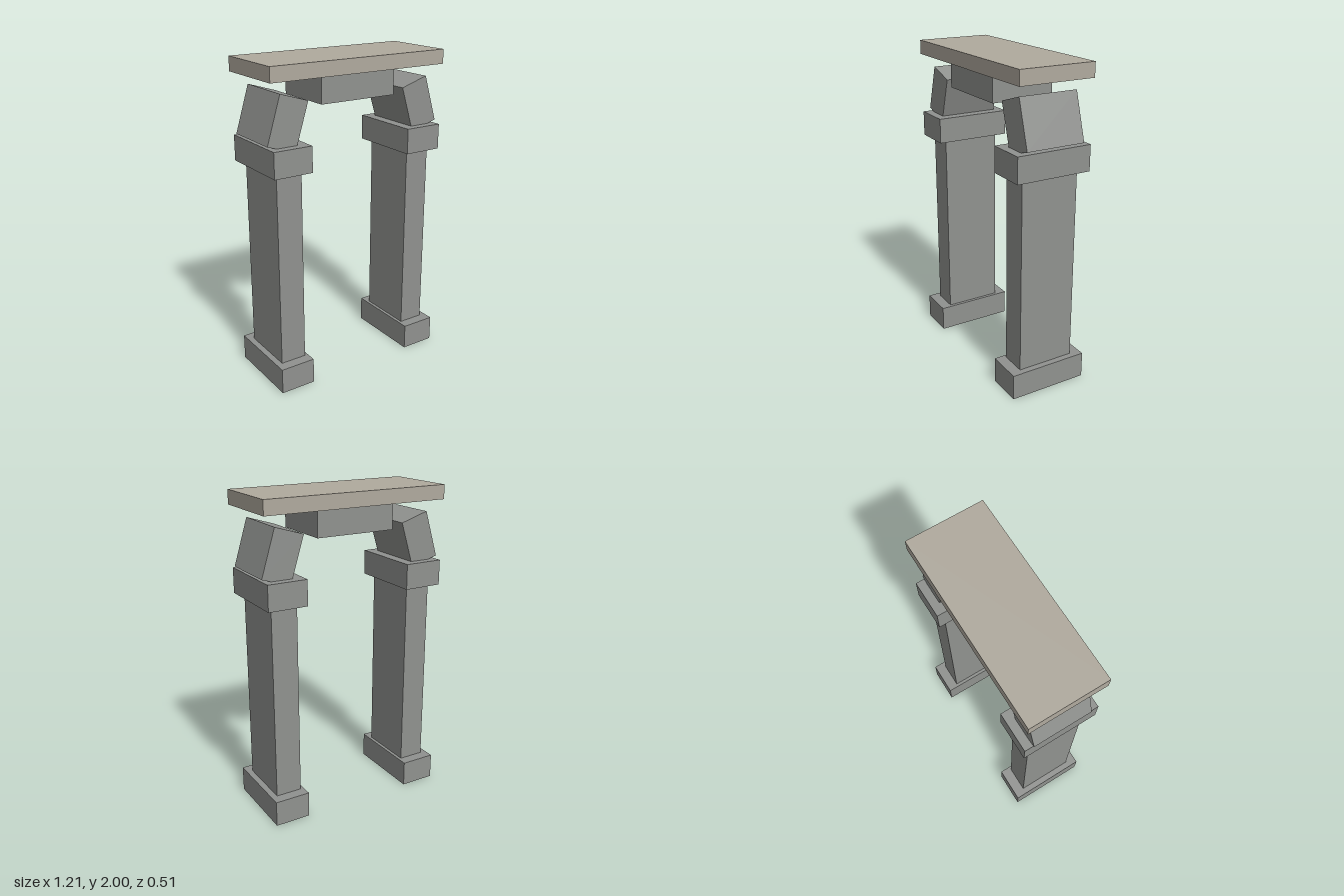
import * as THREE from 'three';

export function createModel() {
  const stone = new THREE.MeshStandardMaterial({ color: 0x90928f });
  stone.name = 'grey stone';
  const slabStone = new THREE.MeshStandardMaterial({ color: 0xb0aa9e });
  slabStone.name = 'beige stone';

  // Block centred on z = 0, given its size and the centre in x and y
  function block(name, width, height, depth, x, y, material = stone) {
    const mesh = new THREE.Mesh(new THREE.BoxGeometry(width, height, depth), material);
    mesh.name = name;
    mesh.position.set(x, y, 0);
    return mesh;
  }

  const model = new THREE.Group();
  model.name = 'stoneArch';

  // Two mirrored pillars, each topped by a block leaning inward
  for (const side of [-1, 1]) {
    const pillar = new THREE.Group();
    pillar.name = side > 0 ? 'leftPillar' : 'rightPillar';
    const leaningBlock = block('leaningBlock', 0.189, 0.299, 0.375, side * 0.472, 1.667);
    leaningBlock.rotation.z = side * 0.3;
    pillar.add(
      block('base', 0.226, 0.163, 0.506, side * 0.48, 0.0815),
      block('shaft', 0.166, 1.212, 0.368, side * 0.471, 0.769),
      block('capital', 0.25, 0.159, 0.482, side * 0.472, 1.4545),
      leaningBlock
    );
    model.add(pillar);
  }

  // Keystone hanging under the top slab
  model.add(
    block('keystone', 0.514, 0.16, 0.4, 0, 1.831),
    block('topSlab', 1.213, 0.089, 0.482, 0, 1.9555, slabStone)
  );

  return model;
}
